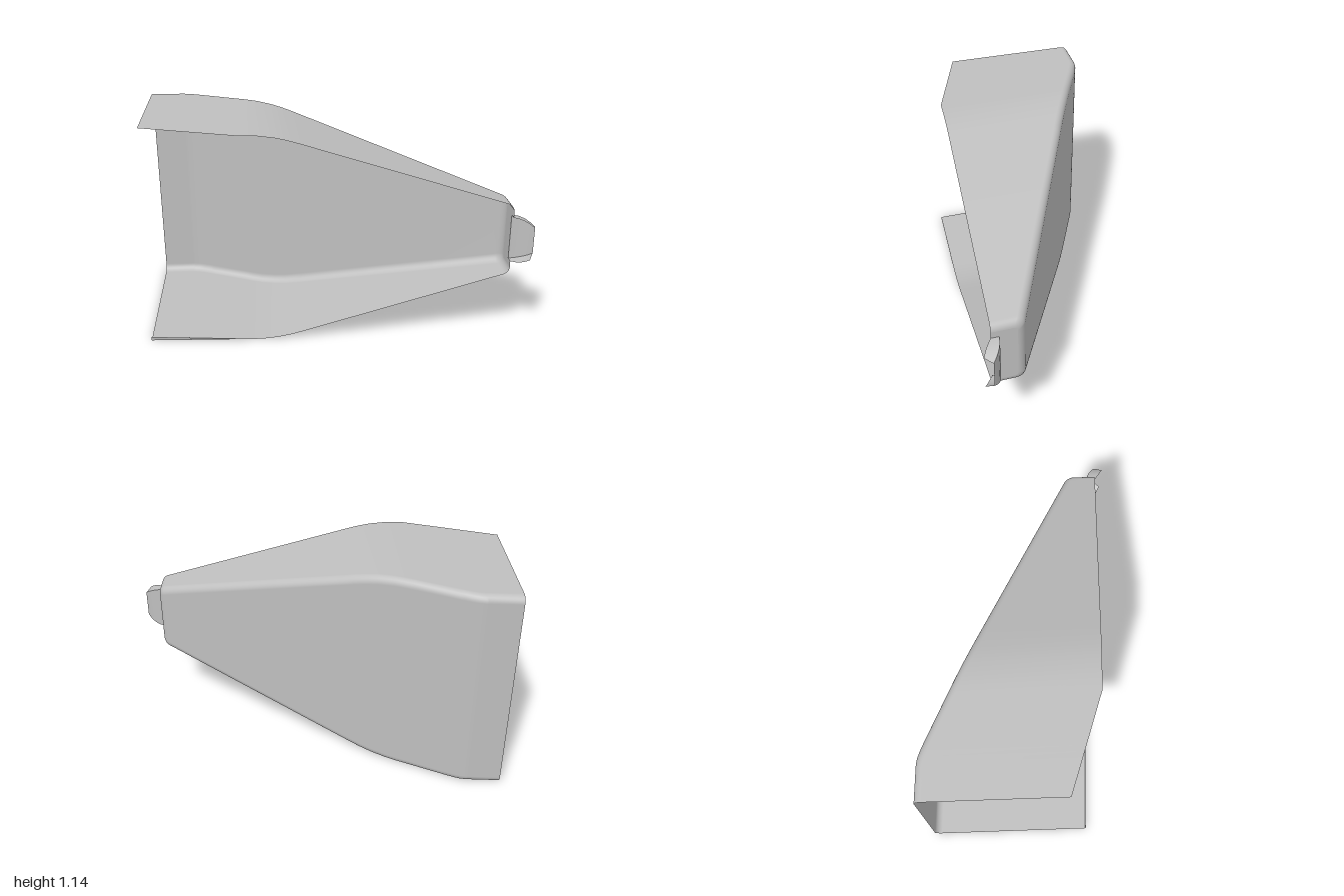
import * as THREE from 'three';

const MID = 0.572; // height of the horizontal symmetry plane

// Linear interpolation through [x, value] pairs
function profile(points) {
  return (x) => {
    let i = 1;
    while (i < points.length - 1 && x > points[i][0]) i++;
    const [x0, v0] = points[i - 1], [x1, v1] = points[i];
    return v0 + (v1 - v0) * (x - x0) / (x1 - x0);
  };
}

const halfHeight = profile([[-1, 0.568], [-0.46, 0.568], [-0.4, 0.566], [-0.32, 0.556],
  [-0.26, 0.543], [-0.2, 0.526], [0.89, 0.188]]);
const backZ = profile([[-1, -0.522], [-0.82, -0.513], [-0.79, -0.507], [-0.76, -0.496],
  [-0.72, -0.478], [0.89, 0.3]]);
const frontZ = profile([[-1, 0.345], [-0.5, 0.375], [0.89, 0.46]]);
const topFrontZ = profile([[-1, 0.2], [-0.5, 0.375], [0.89, 0.46]]); // upper flange is cut back

// Surface through rows of [x, y, z] points
function loft(rows) {
  const n = rows[0].length, index = [];
  for (let i = 0; i < rows.length - 1; i++) {
    for (let j = 0; j < n - 1; j++) {
      const a = i * n + j, b = a + n;
      index.push(a, b, a + 1, b, b + 1, a + 1);
    }
  }
  const geometry = new THREE.BufferGeometry();
  geometry.setAttribute('position', new THREE.Float32BufferAttribute(rows.flat(2), 3));
  geometry.setIndex(index);
  geometry.computeVertexNormals();
  return geometry;
}

// U-shaped section: upper flange, rounded corner, back wall, rounded corner, lower flange
function section(x, inset = 0) {
  const h = halfHeight(x) - inset, zb = backZ(x) + inset, r = 0.04 - inset * 0.7;
  const upper = [];
  for (let k = 0; k <= 6; k++) {
    const a = (k / 6) * Math.PI / 2;
    upper.push([x, h - r + r * Math.cos(a), zb + r - r * Math.sin(a)]);
  }
  const half = [[x, h, topFrontZ(x)], ...upper];
  const lower = [[x, h, frontZ(x)], ...upper].reverse();
  return [...half.map(([px, y, z]) => [px, MID + y, z]),
    ...lower.map(([px, y, z]) => [px, MID - y, z])];
}

export function createModel() {
  const group = new THREE.Group();
  const grey = new THREE.MeshStandardMaterial({ color: 0xbfbfbf, side: THREE.DoubleSide });
  grey.name = 'plain grey';
  const add = (name, geometry, parent = group) => {
    const mesh = new THREE.Mesh(geometry, grey);
    mesh.name = name;
    parent.add(mesh);
  };

  // Tapered channel, ending in a rounded edge
  const rows = [-1, -0.83, -0.82, -0.79, -0.76, -0.72, -0.7, -0.5, -0.46, -0.4, -0.32, -0.26,
    -0.2, -0.17, 0.2, 0.55, 0.84].map((x) => section(x));
  for (let k = 0; k <= 6; k++) {
    const a = (k / 6) * Math.PI / 2;
    rows.push(section(0.86 + 0.03 * Math.sin(a), 0.03 * (1 - Math.cos(a))));
  }
  add('channelShell', loft(rows));

  // End wall with a notch for the clip
  const outline = rows[rows.length - 1].map(([, y, z]) => new THREE.Vector2(z, y));
  const notch = [[0.46, -0.122], [0.42, -0.122], [0.42, 0.122], [0.46, 0.122]]
    .map(([z, y]) => new THREE.Vector2(z, MID + y));
  const wall = new THREE.ShapeGeometry(new THREE.Shape([...outline, ...notch]));
  wall.rotateY(-Math.PI / 2).translate(0.89, 0, 0);
  add('endWall', wall);

  // Small tapering lip on the lower front edge
  add('lowerLip', loft([
    [[-1, 0.026, 0.347], [-1, 0.004, 0.345]],
    [[-0.5, 0.005, 0.376], [-0.5, 0.004, 0.375]],
  ]));

  // Curved hook clip: each row is back x, z, half height, then front x, z, half height
  const hook = [
    [0.89, 0.42, 0.123, 0.89, 0.46, 0.123],
    [0.925, 0.425, 0.118, 0.915, 0.478, 0.121],
    [0.955, 0.438, 0.107, 0.938, 0.493, 0.115],
    [0.98, 0.455, 0.092, 0.958, 0.505, 0.106],
    [1, 0.475, 0.073, 0.975, 0.515, 0.094],
  ];
  const clip = new THREE.Group();
  clip.name = 'hookClip';
  group.add(clip);
  add('clipBack', loft(hook.map(([x, z, h]) => [[x, MID + h, z], [x, MID - h, z]])), clip);
  add('clipUpperFlange', loft(hook.map(([x, z, h, fx, fz, fh]) =>
    [[fx, MID + fh, fz], [x, MID + h, z]])), clip);
  add('clipLowerFlange', loft(hook.map(([x, z, h, fx, fz, fh]) =>
    [[x, MID - h, z], [fx, MID - fh, fz]])), clip);

  return group;
}
